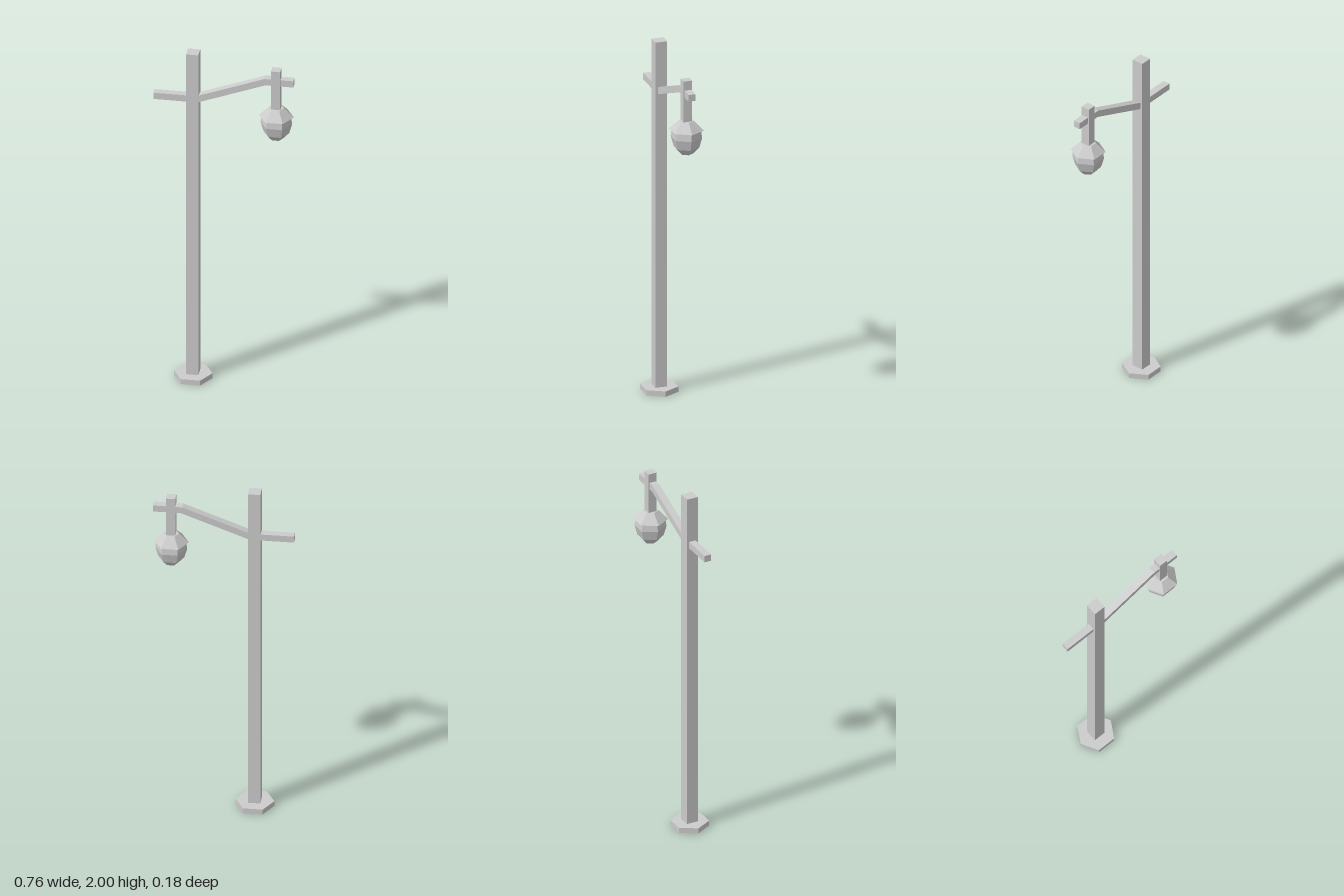
import * as THREE from 'three';

const material = new THREE.MeshStandardMaterial({ color: 0xcccccc, flatShading: true });

export function createModel() {
  const group = new THREE.Group();
  const poleX = -0.167, lampX = 0.284;

  const add = (name, geometry, x = 0, y = 0, z = 0) => {
    const mesh = new THREE.Mesh(geometry, material);
    mesh.name = name;
    mesh.position.set(x, y, z);
    group.add(mesh);
  };
  // Square post between two heights
  const post = (name, width, x, y0, y1) =>
    add(name, new THREE.BoxGeometry(width, y1 - y0, width), x, (y0 + y1) / 2);
  // Six-sided solid turned from [radius, height] points, corners on the x axis
  const hexTurned = (name, points, x) =>
    add(name, new THREE.LatheGeometry(points.map(p => new THREE.Vector2(...p)), 6, Math.PI / 2), x);

  // Foot and pole
  hexTurned('base', [[0, 0], [0.105, 0], [0.105, 0.03], [0, 0.03]], poleX);
  post('pole', 0.066, poleX, 0.01, 2);

  // Bent arm: level stub, rising middle, level tip
  const outline = [
    [-0.38, 1.702], [-0.14, 1.702], [0.228, 1.842], [0.38, 1.842],
    [0.38, 1.88], [0.222, 1.88], [-0.147, 1.74], [-0.38, 1.74],
  ];
  const armShape = new THREE.Shape(outline.map(p => new THREE.Vector2(...p)));
  add('arm', new THREE.ExtrudeGeometry(armShape, { depth: 0.04, bevelEnabled: false }), 0, 0, -0.02);

  // Hanging lamp: hanger post, hood and faceted globe
  post('lampHanger', 0.049, lampX, 1.68, 1.932);
  hexTurned('lampHood', [[0, 1.647], [0.095, 1.647], [0.042, 1.699], [0, 1.699]], lampX);
  hexTurned('lampGlobe', [
    [0, 1.513], [0.037, 1.513], [0.07, 1.549], [0.086, 1.605], [0.08, 1.65], [0, 1.65],
  ], lampX);

  return group;
}
